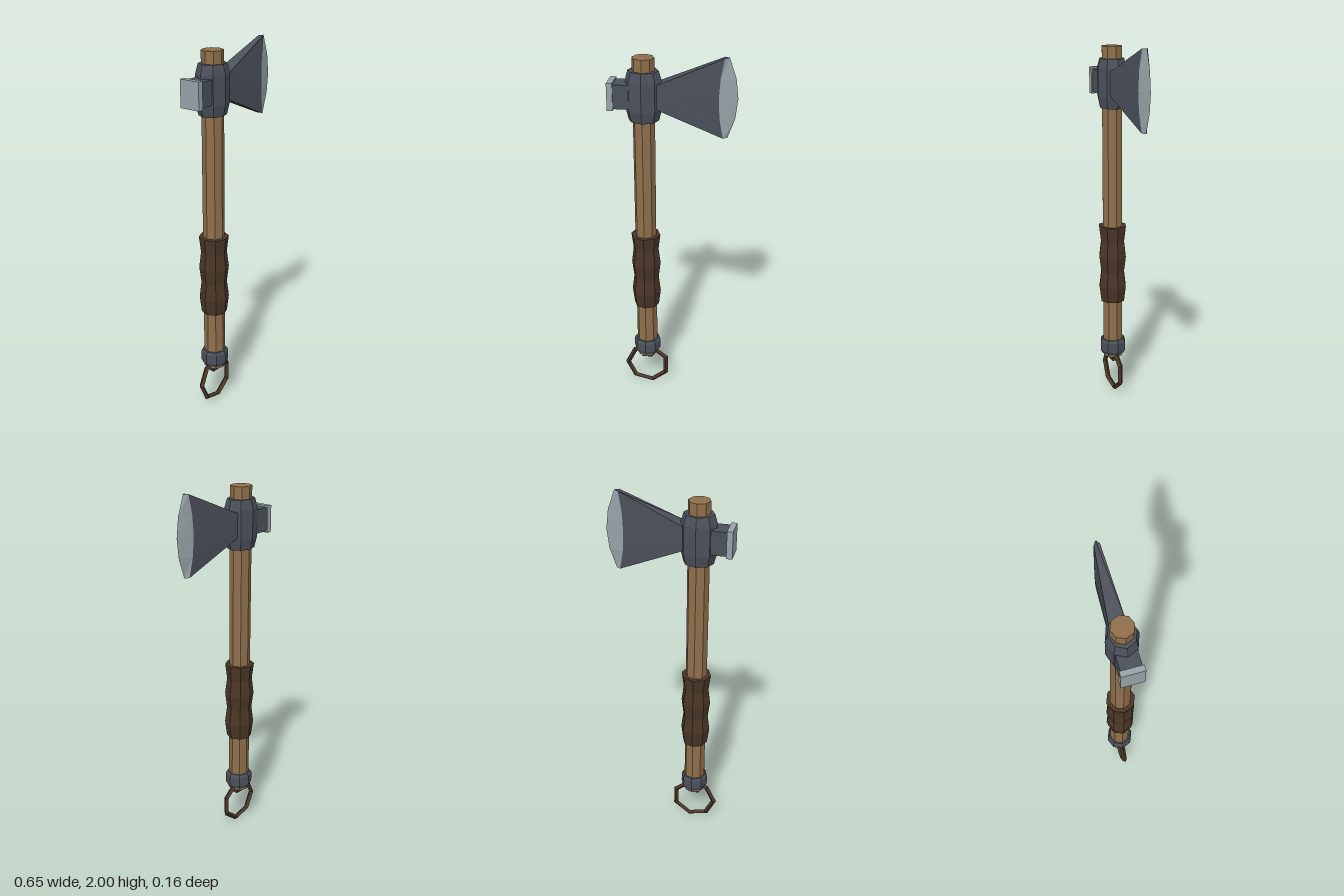
import * as THREE from 'three';

const AXIS = -0.15; // x of the haft's centre line

function material(name, color) {
  const m = new THREE.MeshStandardMaterial({ color, flatShading: true });
  m.name = name;
  return m;
}

// Flat-faced geometry from polygons given as lists of [x, y, z] corners
function faces(polygons) {
  const pos = [];
  for (const p of polygons) {
    for (let i = 1; i < p.length - 1; i++) pos.push(...p[0], ...p[i], ...p[i + 1]);
  }
  const g = new THREE.BufferGeometry();
  g.setAttribute('position', new THREE.Float32BufferAttribute(pos, 3));
  g.computeVertexNormals();
  return g;
}

export function createModel() {
  const wood = material('wood', 0x8f6f4b);
  const leather = material('leather', 0x4a3627);
  const iron = material('darkIron', 0x4b505a);
  const steel = material('brightSteel', 0x98a3a8);
  const group = new THREE.Group();
  group.name = 'handAxe';

  function add(name, geometry, mat, x = 0, y = 0, z = 0) {
    const mesh = new THREE.Mesh(geometry, mat);
    mesh.name = name;
    mesh.position.set(x, y, z);
    group.add(mesh);
    return mesh;
  }

  // Eight-sided turned part on the haft axis, from [radius, y] pairs
  function turned(name, profile, mat) {
    const points = profile.map(([r, y]) => new THREE.Vector2(r, y));
    return add(name, new THREE.LatheGeometry(points, 8), mat, AXIS);
  }

  // Haft
  turned('haft', [[0, 0.22], [0.058, 0.22], [0.057, 1.985], [0, 1.985]], wood);

  // Grip wrap with alternating swells
  const grip = [[0.05, 0.56]];
  for (let i = 0; i < 6; i++) grip.push([i % 2 ? 0.08 : 0.069, 0.56 + i * 0.0885]);
  grip.push([0.05, 1.0025]);
  turned('grip', grip, leather);

  // Iron collars: pommel band and head socket
  turned('pommelBand', [[0.05, 0.235], [0.063, 0.235], [0.075, 0.255], [0.075, 0.31], [0.066, 0.325], [0.05, 0.325]], iron);
  const socket = turned('headSocket', [[0.05, 1.66], [0.078, 1.66], [0.093, 1.72], [0.093, 1.87], [0.078, 1.92], [0.05, 1.92]], iron);
  socket.scale.z = 0.86;

  // Hanging ring and its lug
  add('ringLug', new THREE.BoxGeometry(0.06, 0.05, 0.03), leather, AXIS, 0.212);
  const ring = add('hangingRing', new THREE.TorusGeometry(0.118, 0.015, 4, 7), leather, AXIS, 0.13);
  ring.rotation.z = Math.PI;

  // Hammer poll and its face plate
  add('pollNeck', new THREE.BoxGeometry(0.14, 0.126, 0.103), iron, -0.23, 1.791);
  add('pollFace', new THREE.BoxGeometry(0.03, 0.143, 0.116), steel, -0.313, 1.791);

  // Blade: root, shoulder and edge points at height fraction t, on side s
  const MID = 1.793, HALF = 0.207;
  const root = (t, s) => [-0.09, MID + 0.058 * t, 0.042 * s];
  const shoulder = (t, s) => [0.23 + 0.025 * t * t, MID + HALF * t, 0.023 * s * (1 - 0.35 * t * t)];
  const edge = (t) => [0.325 - 0.048 * t * t, MID + HALF * t, 0];
  const cheeks = [], bevels = [];
  const stations = [-1, -0.5, 0, 0.5, 1];
  for (const s of [1, -1]) {
    const side = (p) => (s > 0 ? p : p.reverse());
    for (let i = 0; i < stations.length - 1; i++) {
      const a = stations[i], b = stations[i + 1];
      cheeks.push(side([root(a, s), shoulder(a, s), shoulder(b, s), root(b, s)]));
      bevels.push(side([shoulder(a, s), edge(a), edge(b), shoulder(b, s)]));
    }
    // Top (s = 1) and bottom (s = -1) of the blade
    cheeks.push(side([root(s, 1), shoulder(s, 1), edge(s), shoulder(s, -1), root(s, -1)]));
  }
  add('bladeCheeks', faces(cheeks), iron);
  add('cuttingEdge', faces(bevels), steel);

  return group;
}
